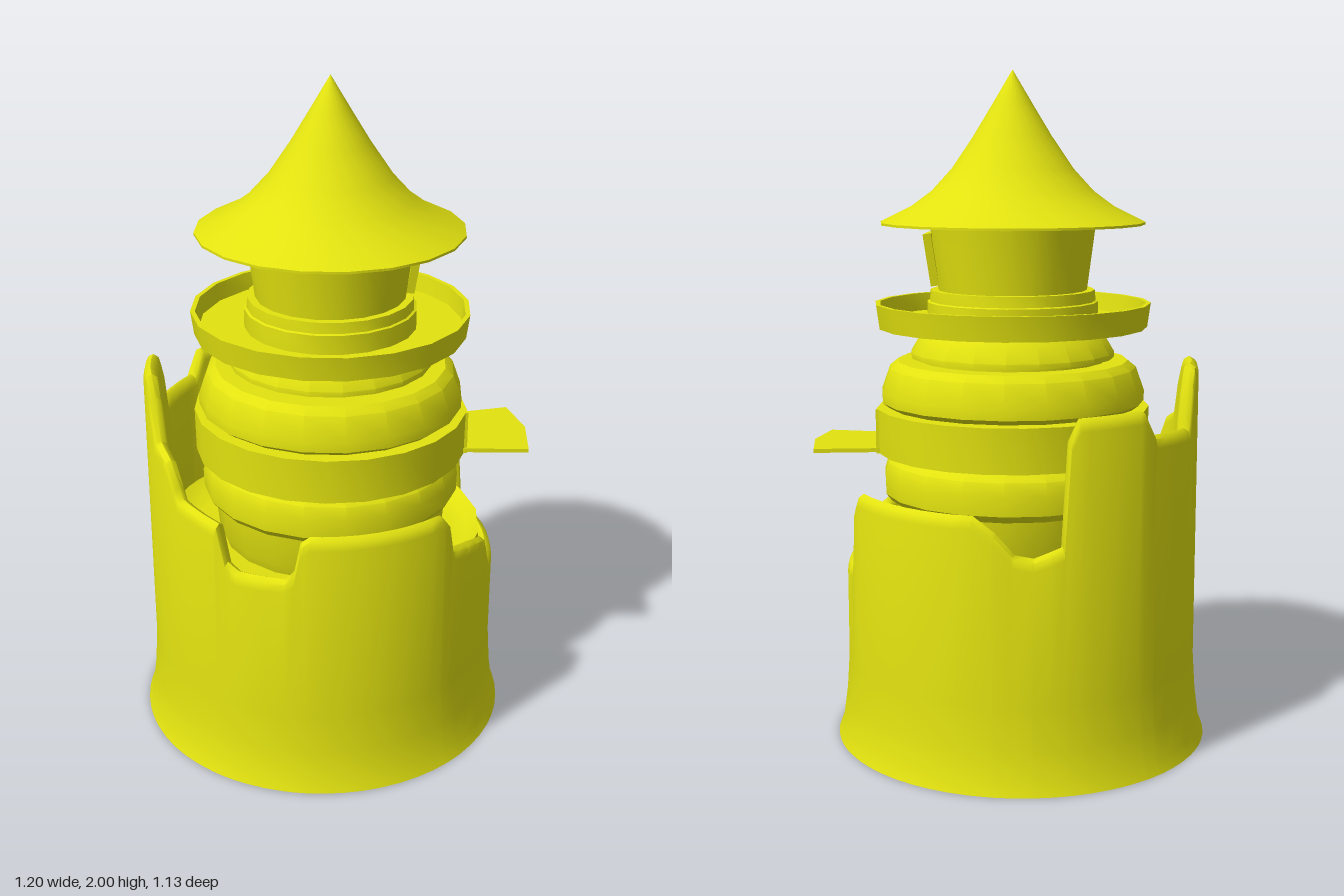
import * as THREE from 'three';
import { toCreasedNormals } from 'three/addons/utils/BufferGeometryUtils.js';

const SIDES = 20;
const TOWER_X = -0.01;
const WALL_X = -0.037;
const yellow = new THREE.MeshStandardMaterial({ color: 0xe2e210 });

function part(parent, name, geometry, x = 0, y = 0, z = 0) {
  const mesh = new THREE.Mesh(geometry, yellow);
  mesh.name = name;
  mesh.position.set(x, y, z);
  parent.add(mesh);
  return mesh;
}

// Turned part from [radius, height] pairs, listed bottom to top along the outside
function turned(profile, start = 0, length = Math.PI * 2) {
  const points = profile.map(([r, y]) => new THREE.Vector2(r, y));
  return toCreasedNormals(new THREE.LatheGeometry(points, SIDES, start, length), 0.6);
}

// Broken rim of the outer wall: [angle in degrees, height], from +x towards -z
const RIM = [
  [0, 0.55], [22, 0.55], [24, 0.6], [26, 0.75], [29, 0.785], [78, 0.785], [85, 0.74],
  [91, 0.68], [97, 0.67], [106, 0.70], [108, 1.0], [111, 1.055], [134, 1.06], [139, 0.985],
  [161, 0.975], [165, 1.1], [169, 1.155], [187, 1.155], [192, 1.1], [197, 0.98],
  [205, 0.95], [212, 0.85], [229, 0.825], [232, 0.71], [236, 0.69], [252, 0.69],
  [255, 0.72], [257, 0.81], [260, 0.83], [305, 0.83], [308, 0.8], [310, 0.71],
  [324, 0.68], [332, 0.655], [336, 0.58], [340, 0.55], [360, 0.55],
];

function rimHeight(angle) {
  const i = Math.max(1, RIM.findIndex(([a]) => a >= angle));
  const [a0, h0] = RIM[i - 1];
  const [a1, h1] = RIM[i];
  return h0 + ((h1 - h0) * (angle - a0)) / (a1 - a0);
}

// Wall swept around the axis, its cross-section following the rim height
function wallGeometry() {
  const angles = new Set(RIM.map(([a]) => a));
  for (let a = 0; a <= 360; a += 6) angles.add(a);
  const sorted = [...angles].sort((a, b) => a - b);
  const positions = [];
  const index = [];
  let count = 0;
  sorted.forEach((angle, i) => {
    const h = rimHeight(angle);
    const section = [
      [0.565, 0], [0.55, 0.04], [0.538, 0.13], [0.53, 0.25], [0.53, h - 0.035],
      [0.524, h - 0.01], [0.508, h], [0.492, h - 0.01], [0.485, h - 0.035],
      [0.485, 0.5], [0.5, 0.25], [0.56, 0],
    ];
    const t = THREE.MathUtils.degToRad(angle);
    count = section.length;
    for (const [r, y] of section) positions.push(r * Math.cos(t), y, -r * Math.sin(t));
    if (i === 0) return;
    for (let j = 0; j < count - 1; j++) {
      const a = (i - 1) * count + j;
      const b = i * count + j;
      index.push(a, b, b + 1, a, b + 1, a + 1);
    }
  });
  const geometry = new THREE.BufferGeometry();
  geometry.setAttribute('position', new THREE.Float32BufferAttribute(positions, 3));
  geometry.setIndex(index);
  return toCreasedNormals(geometry, 0.8);
}

// Frame facing +x, wider at the top when topWidth exceeds bottomWidth
function frameGeometry(bottomWidth, topWidth, height, border, depth) {
  const outline = (target, inset) => {
    const b = bottomWidth / 2 - inset;
    const t = topWidth / 2 - inset;
    target.moveTo(-b, inset);
    target.lineTo(b, inset);
    target.lineTo(t, height - inset);
    target.lineTo(-t, height - inset);
    target.closePath();
    return target;
  };
  const shape = outline(new THREE.Shape(), 0);
  shape.holes.push(outline(new THREE.Path(), border));
  return new THREE.ExtrudeGeometry(shape, { depth, bevelEnabled: false }).rotateY(Math.PI / 2);
}

export function createModel() {
  const model = new THREE.Group();
  model.name = 'ruinedTower';

  part(model, 'brokenWall', wallGeometry(), WALL_X);
  part(model, 'wallFloor', turned([
    [0, 0.54], [0.488, 0.54], [0.488, 0.62], [0.45, 0.595], [0.4, 0.59], [0, 0.59],
  ]), WALL_X);

  const tower = new THREE.Group();
  tower.name = 'innerTower';
  tower.position.x = TOWER_X;
  model.add(tower);

  // Stacked body
  part(tower, 'lowerDrum', turned([
    [0.33, 0.58], [0.345, 0.62], [0.355, 0.73], [0.372, 0.735], [0.388, 0.755],
    [0.39, 0.81], [0.378, 0.85], [0.355, 0.87], [0.355, 1.02],
  ]));
  part(tower, 'upperBulge', turned([
    [0.33, 1.015], [0.375, 1.015], [0.395, 1.03], [0.395, 1.06],
    [0.37, 1.13], [0.345, 1.15], [0.28, 1.15],
  ]));
  part(tower, 'neck', turned([
    [0.28, 1.145], [0.28, 1.16], [0.305, 1.16], [0.305, 1.175],
    [0.272, 1.23], [0.24, 1.255],
  ]));

  // Middle band, open at the doorway
  const gap = 0.3;
  part(tower, 'middleBand', turned([
    [0.35, 0.88], [0.408, 0.88], [0.41, 1.012], [0.35, 1.012],
  ], Math.PI / 2 + gap, Math.PI * 2 - gap * 2));
  part(tower, 'doorFrame', frameGeometry(0.25, 0.25, 0.132, 0.016, 0.06), 0.338, 0.88);
  part(tower, 'door', new THREE.BoxGeometry(0.02, 0.13, 0.24), 0.362, 0.945);

  // Landing plate with a pointed outer edge
  const plate = new THREE.Shape([
    [0.35, -0.127], [0.4, -0.132], [0.58, -0.155], [0.605, 0],
    [0.58, 0.155], [0.4, 0.132], [0.35, 0.127],
  ].map(([x, z]) => new THREE.Vector2(x, z)));
  part(tower, 'landingPlate',
    new THREE.ExtrudeGeometry(plate, { depth: 0.012, bevelEnabled: false }).rotateX(-Math.PI / 2), 0, 0.885);

  // Balcony dish and lookout cabin
  part(tower, 'balcony', turned([
    [0, 1.25], [0.402, 1.25], [0.412, 1.322], [0.398, 1.322], [0.39, 1.268], [0, 1.268],
  ]));
  part(tower, 'cabinBase', turned([
    [0.255, 1.265], [0.255, 1.325], [0.248, 1.328], [0.245, 1.36], [0, 1.36],
  ]));
  part(tower, 'cabin', turned([[0.222, 1.36], [0.247, 1.556]]));
  const windowFrame = part(tower, 'windowFrame', frameGeometry(0.125, 0.155, 0.155, 0.012, 0.024), 0.214, 1.375);
  windowFrame.rotation.z = -0.14;

  // Flared pointed roof with a flat underside
  part(tower, 'roof', turned([
    [0, 1.553], [0.393, 1.553], [0.393, 1.56], [0.3, 1.606], [0.24, 1.65], [0.18, 1.715],
    [0.115, 1.81], [0.06, 1.9], [0, 2],
  ]));

  return model;
}
